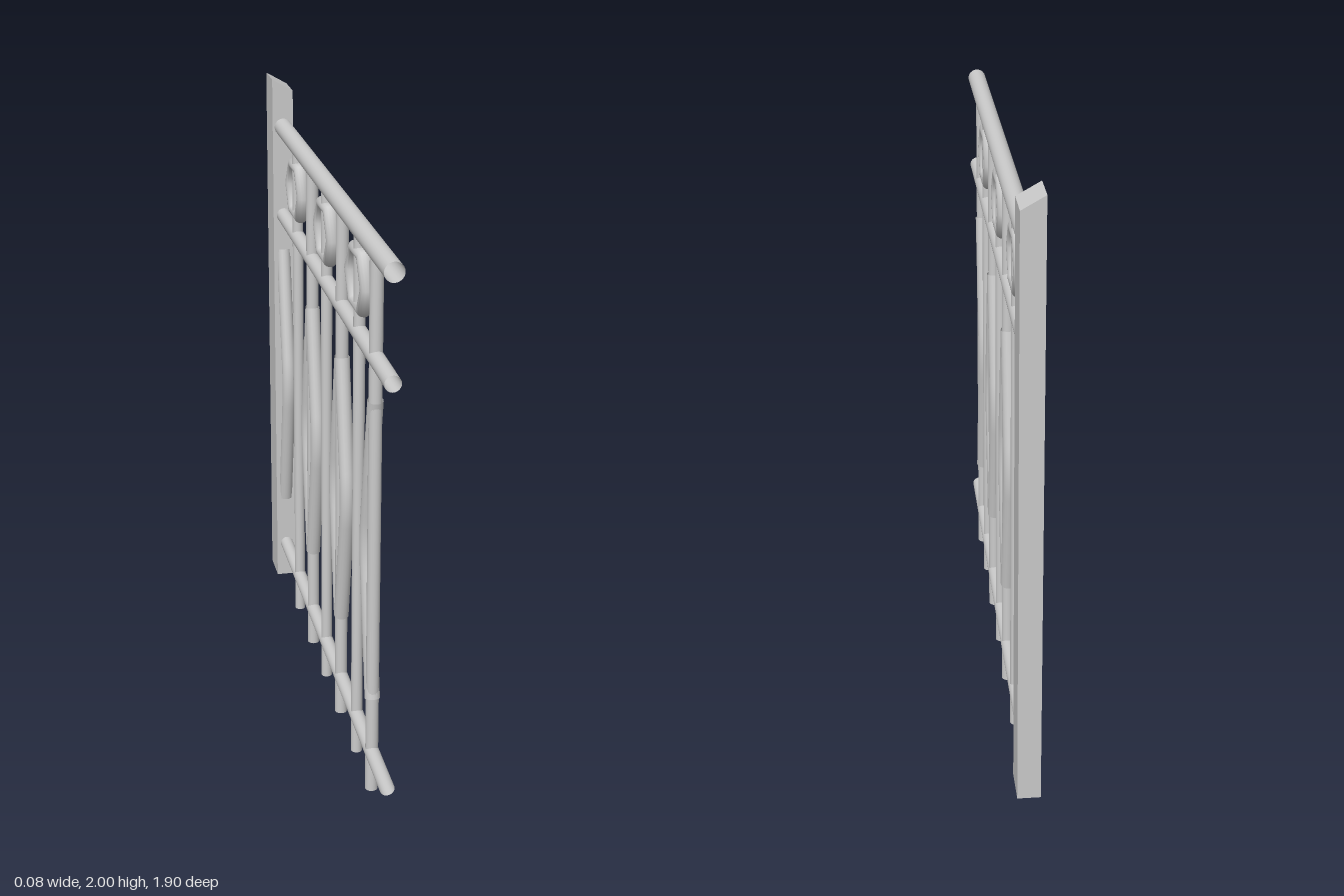
import * as THREE from 'three';

export function createModel() {
  const group = new THREE.Group();
  const material = new THREE.MeshStandardMaterial({ color: 0xcccccc, side: THREE.DoubleSide });
  const add = (name, geometry) => {
    const mesh = new THREE.Mesh(geometry, material);
    mesh.name = name;
    group.add(mesh);
    return mesh;
  };

  // Square end post with a sloping top
  const section = new THREE.Shape([[-0.038, 0], [0.037, 0], [0.037, 1.957], [-0.038, 2]]
    .map(([x, y]) => new THREE.Vector2(x, y)));
  add('post', new THREE.ExtrudeGeometry(section, { depth: 0.128, bevelEnabled: false }))
    .position.z = -0.947;

  // Horizontal rails: height and radius
  const railFront = 0.953, railBack = -0.822;
  for (const [name, y, r] of [['topRail', 1.825, 0.031], ['middleRail', 1.493, 0.026], ['bottomRail', 0.139, 0.024]]) {
    const rail = new THREE.CylinderGeometry(r, r, railFront - railBack, 24, 1, true).rotateX(Math.PI / 2);
    add(name, rail).position.set(0, y, (railFront + railBack) / 2);
  }

  // Upright bars: plain ones carry a ring, the others a diamond
  const ringBars = [0.502, -0.008, -0.53];
  const diamondBars = [0.732, 0.246, -0.258];
  for (const z of [...ringBars, ...diamondBars]) {
    const r = ringBars.includes(z) ? 0.019 : 0.021;
    add('upright', new THREE.CylinderGeometry(r, r, 1.825, 20, 1, true)).position.set(0, 0.9125, z);
  }

  // Six-sided rings between the upper rails
  for (const z of ringBars) {
    const ring = add('ring', new THREE.TorusGeometry(0.113, 0.024, 14, 6).rotateY(Math.PI / 2));
    ring.scale.y = 0.86;
    ring.position.set(0, 1.665, z);
  }

  // Bent rods: straight arms with a softly rounded elbow
  const bentRod = (z, side, halfHeight) => {
    const at = (offset, y) => new THREE.Vector3(0, y, z + side * offset);
    const mid = 0.848, slope = 0.2, peak = 0.096;
    const path = new THREE.CurvePath();
    const arm = (dy) => at(peak - slope * Math.abs(dy), mid + dy);
    path.add(new THREE.LineCurve3(arm(-halfHeight), arm(-0.09)));
    path.add(new THREE.QuadraticBezierCurve3(arm(-0.09), at(peak, mid), arm(0.09)));
    path.add(new THREE.LineCurve3(arm(0.09), arm(halfHeight)));
    add('bentRod', new THREE.TubeGeometry(path, 40, 0.025, 16, false));
  };
  for (const z of diamondBars.slice(1)) for (const side of [1, -1]) bentRod(z, side, 0.47);
  bentRod(0.726, -1, 0.51);
  bentRod(-0.828, 1, 0.51);

  return group;
}
